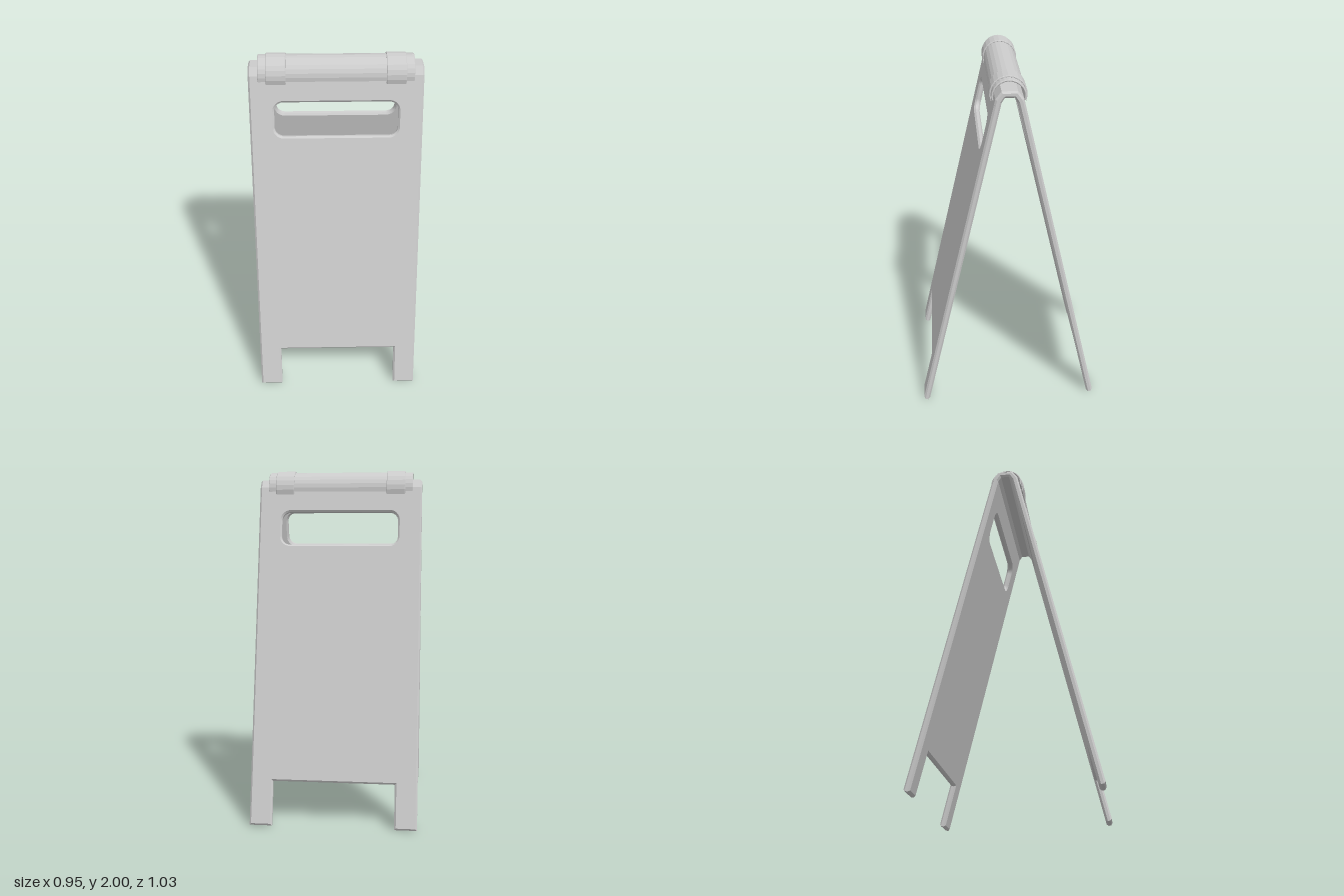
import * as THREE from 'three';

const TILT = 0.2293, THICK = 0.036, BEVEL = 0.01, HALF = 0.473;
const FOOT_Z = 0.517, FOOT_Y = 0.006;
const material = new THREE.MeshStandardMaterial({ color: 0xcccccc });

// Extrusion centred on its depth, with chamfers cut inside the given outline
function solid(name, shape, depth, bevel) {
  const geo = new THREE.ExtrudeGeometry(shape, {
    depth: depth - 2 * bevel, bevelEnabled: true, bevelThickness: bevel,
    bevelSize: bevel, bevelOffset: -bevel, bevelSegments: 1, curveSegments: 6,
  });
  geo.translate(0, 0, bevel - depth / 2);
  const mesh = new THREE.Mesh(geo, material);
  mesh.name = name;
  return mesh;
}

const toShape = (pts) => new THREE.Shape(pts.map(([x, y]) => new THREE.Vector2(x, y)));

function roundedHole(w, y0, y1, r) {
  const p = new THREE.Path();
  p.absarc(w - r, y1 - r, r, 0, Math.PI / 2);
  p.absarc(-w + r, y1 - r, r, Math.PI / 2, Math.PI);
  p.absarc(-w + r, y0 + r, r, Math.PI, Math.PI * 1.5);
  p.absarc(w - r, y0 + r, r, Math.PI * 1.5, Math.PI * 2);
  return p;
}

// Leaning board with two feet and a hand slot
function createPanel(name) {
  const top = 1.939, notch = 0.25, leg = 0.345;
  const shape = toShape([
    [-HALF, 0], [-leg, 0], [-leg, notch], [leg, notch],
    [leg, 0], [HALF, 0], [HALF, top], [-HALF, top],
  ]);
  shape.holes.push(roundedHole(0.338, 1.613, 1.805, 0.05));
  const board = solid(name + 'Board', shape, THICK, BEVEL);
  board.geometry.translate(0, 0, -THICK / 2);
  board.rotation.x = -TILT;
  board.position.set(0, FOOT_Y, FOOT_Z);
  const group = new THREE.Group();
  group.name = name;
  group.add(board);
  return group;
}

// Bent strip joining the tops of both boards
function createBridge() {
  const outer = (y) => FOOT_Z - (y - FOOT_Y) * Math.tan(TILT);
  const inner = (y) => outer(y) - THICK / Math.cos(TILT);
  const half = [
    [inner(1.87), 1.87], [outer(1.87), 1.87], [outer(1.905), 1.905], [0.042, 1.947],
  ];
  const under = [[0.024, 1.912], [inner(1.885), 1.885]];
  const flip = (pts) => pts.map(([z, y]) => [-z, y]).reverse();
  const bridge = solid('topBridge', toShape([...half, ...flip(half), ...flip(under), ...under]), HALF * 2, BEVEL);
  bridge.rotation.y = Math.PI / 2;
  return bridge;
}

// Open curved shell around the top edge
function createShell(name, radius, width, droop, x) {
  const steps = 14, wall = 0.01, pts = [];
  const arc = (r, i) => {
    const a = -droop + (i / steps) * (Math.PI + 2 * droop);
    return [r * Math.cos(a), 1.9 + r * Math.sin(a)];
  };
  for (let i = 0; i <= steps; i++) pts.push(arc(radius, i));
  for (let i = steps; i >= 0; i--) pts.push(arc(radius - wall, i));
  const shell = solid(name, toShape(pts), width, 0.003);
  shell.rotation.y = Math.PI / 2;
  shell.position.x = x;
  return shell;
}

export function createModel() {
  const model = new THREE.Group();
  model.name = 'foldingFloorSign';
  const back = createPanel('backPanel');
  back.rotation.y = Math.PI;
  model.add(createPanel('frontPanel'), back, createBridge());

  // Grip cover and its two bands
  model.add(createShell('gripCover', 0.092, 0.84, 0.22, 0));
  for (const [side, s] of [['left', 1], ['right', -1]]) {
    model.add(createShell(side + 'Band', 0.1, 0.107, 0.37, s * 0.323));
  }
  return model;
}
